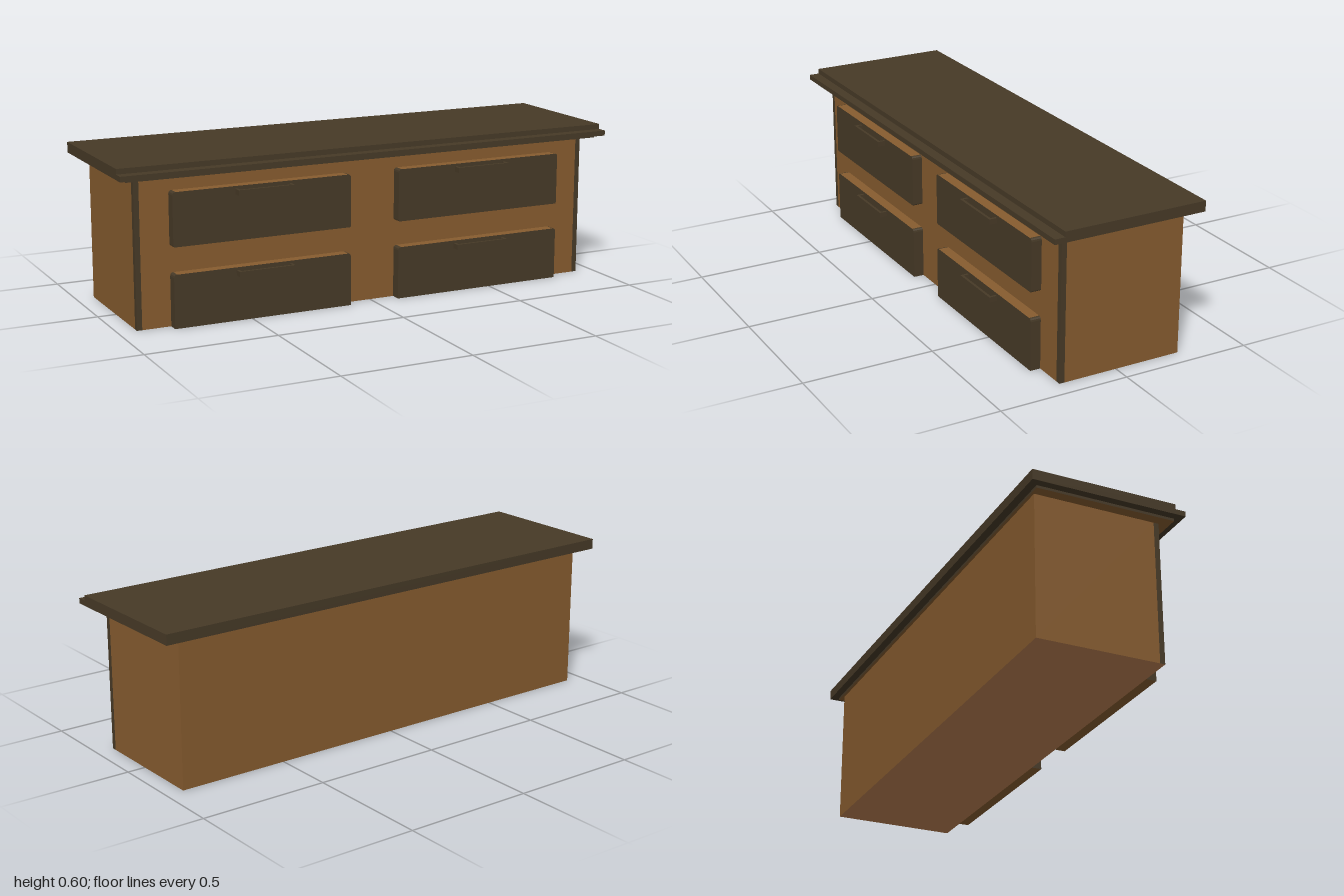
import * as THREE from 'three';

const wood = new THREE.MeshStandardMaterial({ color: 0x875c2f });
wood.name = 'warm wood';
const dark = new THREE.MeshStandardMaterial({ color: 0x473a27 });
dark.name = 'dark wood';
const pale = new THREE.MeshStandardMaterial({ color: 0xbb8152 });
pale.name = 'pale wood';

// Box given by its min and max corners; the underside may have its own colour
function box(name, mat, [x0, y0, z0], [x1, y1, z1], under = mat) {
  const geo = new THREE.BoxGeometry(x1 - x0, y1 - y0, z1 - z0);
  const mesh = new THREE.Mesh(geo, under === mat ? mat : [mat, mat, mat, under, mat, mat]);
  mesh.position.set((x0 + x1) / 2, (y0 + y1) / 2, (z0 + z1) / 2);
  mesh.name = name;
  return mesh;
}

// Dark drawer front with softened corners; its flat top and underside are warm wood
function drawerFront(w, h, depth, top, bottom) {
  const s = new THREE.Shape();
  const x = w / 2;
  s.moveTo(-x + bottom, 0);
  s.lineTo(x - bottom, 0);
  if (bottom) s.quadraticCurveTo(x, 0, x, bottom);
  s.lineTo(x, h - top);
  s.quadraticCurveTo(x, h, x - top, h);
  s.lineTo(-x + top, h);
  s.quadraticCurveTo(-x, h, -x, h - top);
  s.lineTo(-x, bottom);
  if (bottom) s.quadraticCurveTo(-x, 0, -x + bottom, 0);
  const geo = new THREE.ExtrudeGeometry(s, { depth, bevelEnabled: false, curveSegments: 3 });

  // Regroup the triangles: level faces take the second material
  const normal = geo.attributes.normal;
  geo.clearGroups();
  for (let i = 0; i < normal.count; i += 3) {
    geo.addGroup(i, 3, Math.abs(normal.getY(i)) > 0.99 ? 1 : 0);
  }
  const mesh = new THREE.Mesh(geo, [dark, wood]);
  mesh.name = 'drawerFront';
  return mesh;
}

// Pull handle: a bar on two short posts
function handle() {
  const g = new THREE.Group();
  g.name = 'handle';
  g.add(box('handleBar', dark, [-0.11, 0, 0.02], [0.11, 0.02, 0.03]));
  for (const s of [-1, 1]) {
    g.add(box('handlePost', dark, [s * 0.105 - 0.005, 0, 0], [s * 0.105 + 0.005, 0.02, 0.02]));
  }
  return g;
}

export function createModel() {
  const model = new THREE.Group();
  model.name = 'lowDresser';

  // Carcass and front panel, pale underneath
  model.add(box('carcass', wood, [-0.93, 0, -0.26], [0.93, 0.55, 0.21], pale));
  model.add(box('frontPanel', wood, [-0.91, 0, 0.21], [0.91, 0.55, 0.23], pale));
  for (const s of [-1, 1]) {
    model.add(box('cornerStrip', dark, [s * 0.92 - 0.01, 0, 0.21], [s * 0.92 + 0.01, 0.55, 0.23], pale));
  }

  // Top with moulding beneath and a stepped front lip
  model.add(box('moulding', dark, [-0.97, 0.55, -0.27], [0.97, 0.56, 0.27], wood));
  model.add(box('top', dark, [-1, 0.56, -0.3], [1, 0.6, 0.26]));
  model.add(box('frontLip', dark, [-1, 0.56, 0.26], [1, 0.58, 0.3]));

  // Two columns of two drawers
  for (const x of [-0.45, 0.45]) {
    for (const y of [0, 0.3]) {
      const drawer = new THREE.Group();
      drawer.name = 'drawer';
      drawer.add(drawerFront(0.7, 0.2, 0.04, 0.012, y ? 0.006 : 0));
      const pull = handle();
      pull.position.set(0, 0.17, 0.04);
      drawer.add(pull);
      drawer.position.set(x, y, 0.23);
      model.add(drawer);
    }
  }
  return model;
}
